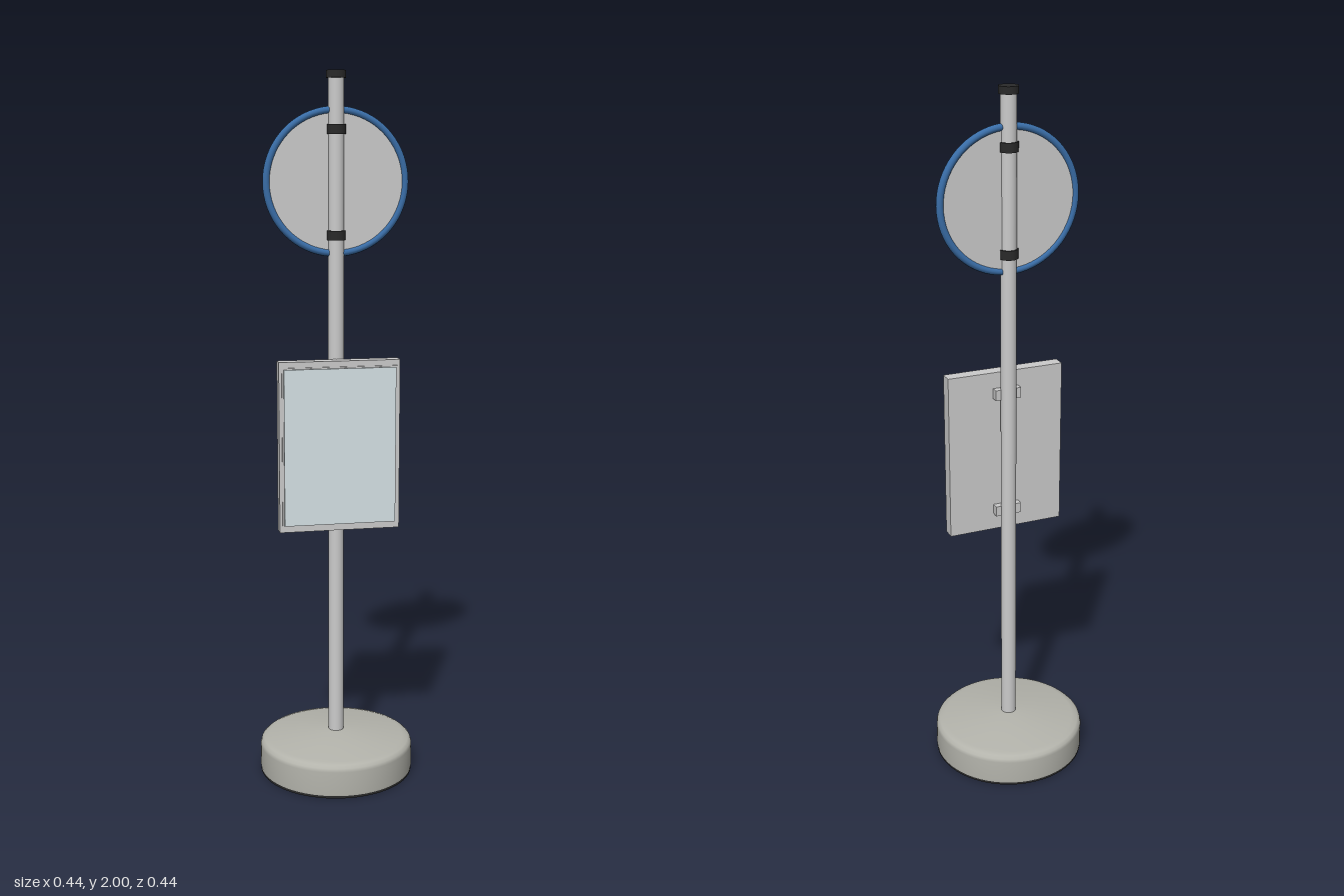
import * as THREE from 'three';

export function createModel() {
  const model = new THREE.Group();
  const mat = (color) => new THREE.MeshStandardMaterial({ color });
  const grey = mat(0xcccccc), concrete = mat(0xb4b4ac), dark = mat(0x2a2a2a);
  const blue = mat(0x3a6ea8), glass = mat(0xd6e2e6);

  const add = (name, geometry, material, x = 0, y = 0, z = 0) => {
    const mesh = new THREE.Mesh(geometry, material);
    mesh.name = name;
    mesh.position.set(x, y, z);
    model.add(mesh);
    return mesh;
  };
  const box = (name, w, h, d, material, y, z) =>
    add(name, new THREE.BoxGeometry(w, h, d), material, 0, y, z);
  const cylinder = (name, r, h, material, y) =>
    add(name, new THREE.CylinderGeometry(r, r, h, 40), material, 0, y, 0);

  // Weighted base: rounded shoulder rising gently to the pole
  const profile = [
    [0, 0.002], [0.22, 0.002], [0.22, 0.002], [0.222, 0.012], [0.222, 0.078], [0.219, 0.088],
    [0.211, 0.095], [0.195, 0.099], [0.12, 0.109], [0.05, 0.117], [0, 0.119],
  ].map(([r, y]) => new THREE.Vector2(r, y));
  add('base', new THREE.LatheGeometry(profile, 64), concrete);
  add('baseFoot', new THREE.CylinderGeometry(0.221, 0.221, 0.008, 64), dark, 0, 0.004, 0);

  // Pole and end cap
  cylinder('pole', 0.022, 1.885, grey, 1.0475);
  cylinder('poleCap', 0.027, 0.02, dark, 1.99);

  // Round sign with a coloured rim, held by two clamps
  const signY = 1.704;
  const plate = add('signPlate', new THREE.CylinderGeometry(0.193, 0.193, 0.01, 64), grey, 0, signY, 0);
  plate.rotation.x = Math.PI / 2;
  add('signRim', new THREE.TorusGeometry(0.193, 0.01, 12, 72), blue, 0, signY, 0);
  for (const y of [1.56, 1.845]) cylinder('signClamp', 0.0265, 0.026, dark, y);

  // Notice case: backing tray, front pane and two mounting brackets
  const caseY = 0.978;
  box('noticeCase', 0.342, 0.482, 0.037, grey, caseY, 0.0385);
  box('noticeSheet', 0.326, 0.45, 0.004, grey, caseY, 0.0585);
  box('noticePane', 0.316, 0.442, 0.006, glass, caseY, 0.0635);
  for (const y of [0.8, 1.157]) box('caseBracket', 0.076, 0.03, 0.022, grey, y, 0.011);

  return model;
}
